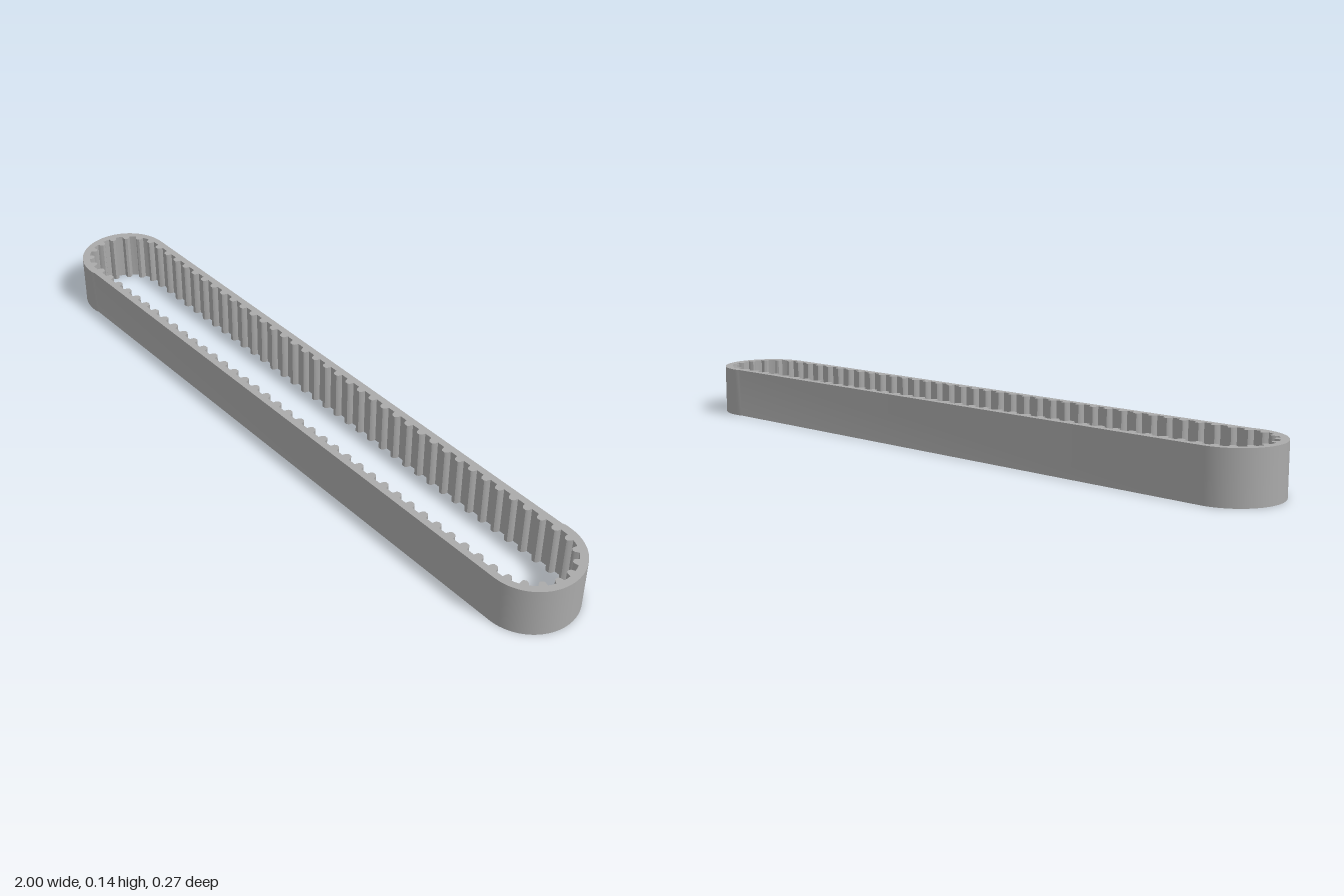
import * as THREE from 'three';
import { toCreasedNormals } from 'three/addons/utils/BufferGeometryUtils.js';

const HEIGHT = 0.143;
const CENTRE = 0.866;      // x of the centre of each rounded end
const OUTER = 0.132;       // half width of the straight runs
const LIP = 0.003;         // small seam step where an end meets a run
const INNER = 0.113;       // radius of the gaps between the teeth
const TOOTH = 0.015;
const RUN_TEETH = 36, END_TEETH = 8;

// Outline of one half of the loop turned by 180 degrees to give the other half
function closeLoop(half) {
  return [...half, ...half.map(p => new THREE.Vector2(-p.x, -p.y))];
}

function outerOutline() {
  const half = [];
  const steps = 40;
  for (let i = 0; i <= steps; i++) {
    const t = i / steps, a = (t - 0.5) * Math.PI, r = OUTER + LIP * t;
    half.push(new THREE.Vector2(CENTRE + r * Math.cos(a), r * Math.sin(a)));
  }
  half.push(new THREE.Vector2(0.85, OUTER + LIP), new THREE.Vector2(0.842, OUTER));
  return closeLoop(half);
}

function innerOutline() {
  // One tooth: position along the pitch, fraction of the tooth height
  const profile = [[0.05, 0], [0.24, 0], [0.3, 0.7], [0.4, 1], [0.6, 1], [0.7, 0.7], [0.76, 0], [0.95, 0]];
  const half = [];
  for (let i = 0; i < END_TEETH; i++) {
    for (const [u, h] of profile) {
      const a = ((i + u) / END_TEETH - 0.5) * Math.PI, r = INNER - TOOTH * h;
      half.push(new THREE.Vector2(CENTRE + r * Math.cos(a), r * Math.sin(a)));
    }
  }
  for (let i = 0; i < RUN_TEETH; i++) {
    for (const [u, h] of profile) {
      const x = CENTRE * (1 - 2 * (i + u) / RUN_TEETH);
      half.push(new THREE.Vector2(x, INNER - TOOTH * h));
    }
  }
  return closeLoop(half);
}

export function createModel() {
  const group = new THREE.Group();
  group.name = 'toothedBelt';

  const rubber = new THREE.MeshStandardMaterial({ color: 0xaaaaaa });
  rubber.name = 'grey rubber';

  // Belt band with the teeth cut into its inner outline
  const shape = new THREE.Shape(outerOutline());
  shape.holes.push(new THREE.Path(innerOutline()));
  const solid = new THREE.ExtrudeGeometry(shape, { depth: HEIGHT, bevelEnabled: false });
  solid.rotateX(-Math.PI / 2);
  const belt = new THREE.Mesh(toCreasedNormals(solid, 0.75), rubber);
  belt.name = 'belt';
  group.add(belt);
  return group;
}
